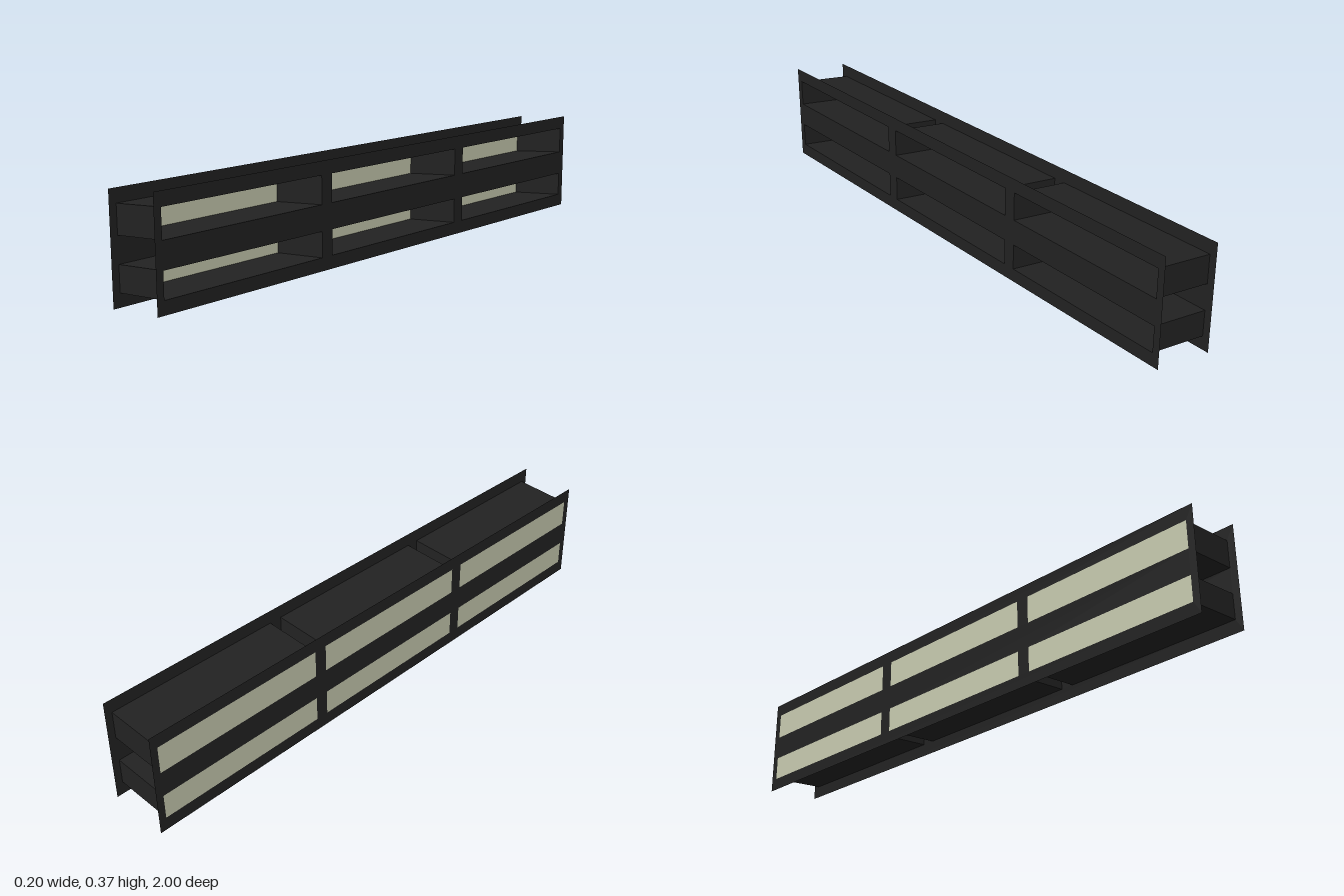
import * as THREE from 'three';

const HALF = 0.1;        // half the distance between the two face plates
const RISE = 0.0175;     // everything climbs this much towards +x
const ROWS = [[0.0435, 0.1275], [0.2125, 0.305]];                    // opening heights at -x
const COLUMNS = [[-0.975, -0.355], [-0.31, 0.31], [0.355, 0.975]];   // opening extents in z

export function createModel() {
  const group = new THREE.Group();
  const frame = new THREE.MeshStandardMaterial({ color: 0x222222, side: THREE.DoubleSide });
  frame.name = 'charcoal frame';
  const pane = new THREE.MeshStandardMaterial({ color: 0xc8cbb0, side: THREE.DoubleSide });
  pane.name = 'pale pane';

  const add = (name, geometry, material) => {
    const mesh = new THREE.Mesh(geometry, material);
    mesh.name = name;
    group.add(mesh);
  };

  // Corner points of a rectangle in (z, y)
  const rect = (z0, z1, y0, y1) => [[z0, y0], [z1, y0], [z1, y1], [z0, y1]]
    .map(([z, y]) => new THREE.Vector2(z, y));

  // Thin upright sheet in the z-y plane
  const sheet = (shape, x, y) =>
    new THREE.ShapeGeometry(shape).rotateY(-Math.PI / 2).translate(x, y, 0);

  // Face plates with six openings, the +x one sitting a little higher
  const plate = new THREE.Shape(rect(-1, 1, 0, 0.35));
  for (const [y0, y1] of ROWS)
    for (const [z0, z1] of COLUMNS)
      plate.holes.push(new THREE.Path(rect(z0, z1, y0, y1).reverse()));
  add('leftFacePlate', sheet(plate, HALF, RISE), frame);
  add('rightFacePlate', sheet(plate, -HALF, 0), frame);

  // Sloping open-ended ducts joining the plates, each closed by a pane at -x
  for (const [y0, y1] of ROWS) {
    for (const [z0, z1] of COLUMNS) {
      const duct = new THREE.BoxGeometry(2 * HALF, y1 - y0, z1 - z0);
      duct.setIndex(Array.from(duct.index.array).slice(12)); // drop the two x ends
      duct.clearGroups();
      duct.translate(0, (y0 + y1) / 2, (z0 + z1) / 2);
      const p = duct.attributes.position;
      for (let i = 0; i < p.count; i++)
        if (p.getX(i) > 0) p.setY(i, p.getY(i) + RISE);
      duct.computeVertexNormals();
      add('duct', duct, frame);
      add('pane', sheet(new THREE.Shape(rect(z0, z1, y0, y1)), -HALF, 0), pane);
    }
  }
  return group;
}
